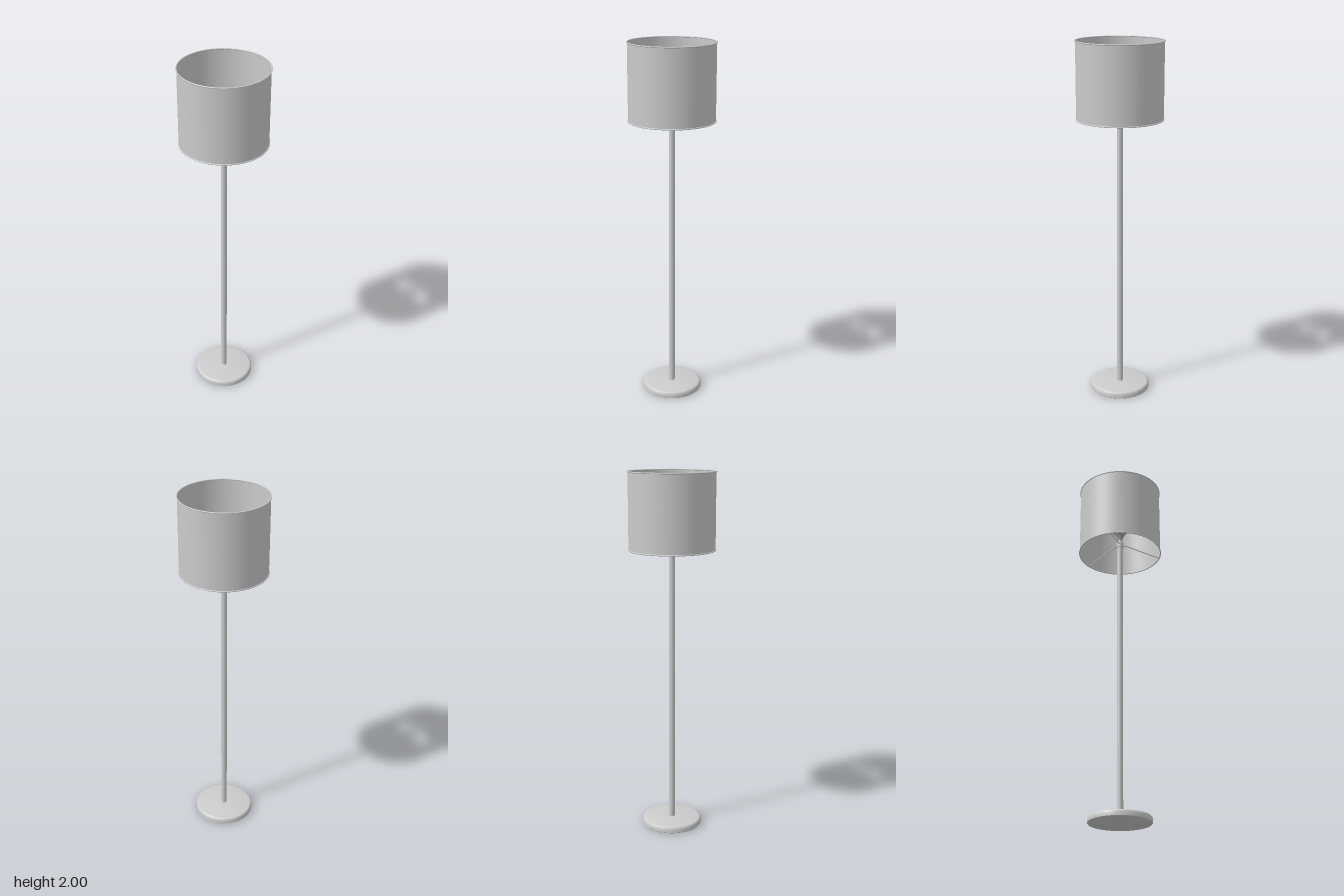
import * as THREE from 'three';
import { toCreasedNormals } from 'three/addons/utils/BufferGeometryUtils.js';

export function createModel() {
  const lamp = new THREE.Group();
  lamp.name = 'floorLamp';

  const lightGrey = new THREE.MeshStandardMaterial({ color: 0xcccccc });
  lightGrey.name = 'light grey';
  const shadeGrey = new THREE.MeshStandardMaterial({ color: 0xcbcbcb, side: THREE.DoubleSide });
  shadeGrey.name = 'shade grey';
  const bulbGrey = new THREE.MeshStandardMaterial({ color: 0xa4a4a4 });
  bulbGrey.name = 'bulb grey';

  const add = (name, geometry, material, y = 0) => {
    const mesh = new THREE.Mesh(geometry, material);
    mesh.name = name;
    mesh.position.y = y;
    lamp.add(mesh);
    return mesh;
  };
  const lathe = (pairs, segments) => toCreasedNormals(
    new THREE.LatheGeometry(pairs.map(([r, y]) => new THREE.Vector2(r, y)), segments), 0.7);

  // Round foot with a softened upper edge
  add('base', lathe([
    [0, 0], [0.165, 0], [0.168, 0.003], [0.168, 0.022], [0.166, 0.029],
    [0.161, 0.034], [0.153, 0.036], [0, 0.036],
  ], 64), lightGrey);

  // Pole and bulb socket
  add('pole', new THREE.CylinderGeometry(0.0165, 0.0165, 1.6, 24), lightGrey, 0.83);
  add('socket', lathe([
    [0, 1.625], [0.021, 1.625], [0.021, 1.652], [0.013, 1.658], [0.013, 1.675], [0, 1.675],
  ], 24), lightGrey);

  // Bulb: narrow neck flaring into a globe
  const bulb = [[0.012, 1.665], [0.015, 1.685], [0.027, 1.712]];
  for (let i = 0; i <= 12; i++) {
    const a = -0.7 + (i / 12) * (Math.PI / 2 + 0.7);
    bulb.push([Math.max(0, 0.05 * Math.cos(a)), 1.76 + 0.05 * Math.sin(a)]);
  }
  add('bulb', lathe(bulb, 32), bulbGrey);

  // Open drum shade with a wire ring at each rim
  add('shade', new THREE.CylinderGeometry(0.2345, 0.2345, 0.412, 48, 1, true), shadeGrey, 1.79);
  for (const [name, y] of [['topRing', 1.9965], ['bottomRing', 1.5835]]) {
    const ring = new THREE.TorusGeometry(0.2355, 0.0035, 8, 48);
    ring.rotateX(Math.PI / 2);
    add(name, ring, lightGrey, y);
  }

  // Three wire arms sloping from the socket to the lower ring
  for (const degrees of [65, 180, 295]) {
    const a = THREE.MathUtils.degToRad(degrees);
    const at = (r, y) => new THREE.Vector3(r * Math.cos(a), y, r * Math.sin(a));
    const path = new THREE.CatmullRomCurve3([
      at(0.01, 1.642), at(0.045, 1.639), at(0.08, 1.628), at(0.235, 1.5835),
    ]);
    add('shadeArm', new THREE.TubeGeometry(path, 16, 0.0032, 8), lightGrey);
  }

  return lamp;
}
